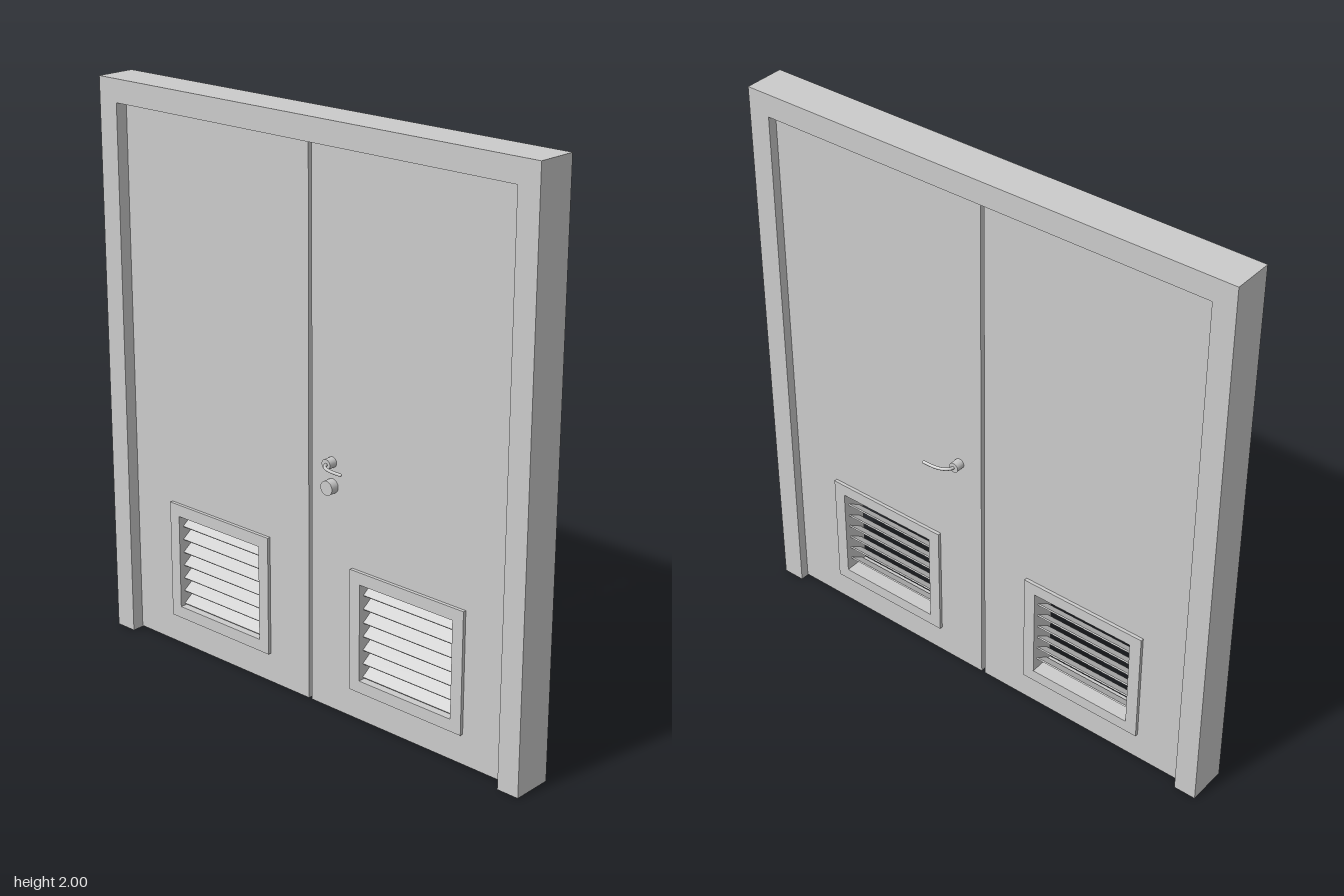
import * as THREE from 'three';

const material = new THREE.MeshStandardMaterial({ color: 0xcccccc });

function add(parent, geometry, name) {
  const mesh = new THREE.Mesh(geometry, material);
  mesh.name = name;
  parent.add(mesh);
  return mesh;
}

function rectangle(Type, x0, x1, y0, y1) {
  const r = new Type();
  r.moveTo(x0, y0);
  r.lineTo(x1, y0);
  r.lineTo(x1, y1);
  r.lineTo(x0, y1);
  r.closePath();
  return r;
}

// Extrudes a shape between two z planes
function slab(shape, z0, z1) {
  return new THREE.ExtrudeGeometry(shape, { depth: z1 - z0, bevelEnabled: false }).translate(0, 0, z0);
}

// Vent sizes, shared by the door cut-out, vent frame and slats
const vent = { x: 0.419, y: 0.325, halfW: 0.192, halfH: 0.172, border: 0.043 };
const doorFace = 0.035;

function makeDoor(side) {
  const door = new THREE.Group();
  door.name = side > 0 ? 'leftDoor' : 'rightDoor';
  const cx = side * vent.x, { y, halfW, halfH, border } = vent;

  // Panel with an opening for the vent
  const panel = rectangle(THREE.Shape, ...(side > 0 ? [0.007, 0.829] : [-0.829, -0.007]), 0.004, 1.918);
  panel.holes.push(rectangle(THREE.Path, cx - halfW - 0.005, cx + halfW + 0.005, y - halfH - 0.005, y + halfH + 0.005));
  add(door, slab(panel, -doorFace, doorFace), 'doorPanel');

  // Raised border on both faces, lining the opening
  const ring = rectangle(THREE.Shape, cx - halfW - border, cx + halfW + border, y - halfH - border, y + halfH + border);
  ring.holes.push(rectangle(THREE.Path, cx - halfW, cx + halfW, y - halfH, y + halfH));
  add(door, slab(ring, -doorFace - 0.012, doorFace + 0.012), 'ventFrame');

  // Slats sloping down towards the front
  for (let i = -3; i <= 3; i++) {
    const slat = add(door, new THREE.BoxGeometry(halfW * 2, 0.005, 0.066), 'ventSlat');
    slat.position.set(cx, y + i * 0.049, 0);
    slat.rotation.x = 0.62;
  }
  return door;
}

// Rose, curved lever and its rounded tip, built facing +z
function makeHandle(name) {
  const handle = new THREE.Group();
  handle.name = name;
  add(handle, new THREE.CylinderGeometry(0.018, 0.018, 0.032, 24).rotateX(Math.PI / 2).translate(0, 0, 0.016), 'handleRose');
  const path = new THREE.CatmullRomCurve3([
    [0, 0.025], [0.005, 0.042], [0.022, 0.057], [0.05, 0.066], [0.095, 0.068],
  ].map(([x, z]) => new THREE.Vector3(x, 0, z)));
  add(handle, new THREE.TubeGeometry(path, 24, 0.0055, 10), 'handleLever');
  add(handle, new THREE.SphereGeometry(0.0055, 10, 8).translate(0.095, 0, 0.068), 'leverTip');
  return handle;
}

export function createModel() {
  const model = new THREE.Group();
  model.name = 'doubleDoor';

  // Surround, open at the floor
  const outline = new THREE.Shape([
    [-0.91, 0], [-0.83, 0], [-0.83, 1.92], [0.83, 1.92],
    [0.83, 0], [0.91, 0], [0.91, 2], [-0.91, 2],
  ].map(([x, y]) => new THREE.Vector2(x, y)));
  add(model, slab(outline, -0.066, 0.078), 'doorFrame');

  for (const side of [-1, 1]) model.add(makeDoor(side));

  // Levers on both faces point the same way
  const front = makeHandle('frontHandle');
  front.position.set(0.097, 0.884, doorFace);
  const back = makeHandle('backHandle');
  back.position.set(0.097, 0.884, -doorFace);
  back.rotation.x = Math.PI;
  model.add(front, back);

  // Lock on the front face
  add(model, new THREE.CylinderGeometry(0.025, 0.025, 0.03, 28).rotateX(Math.PI / 2), 'lock')
    .position.set(0.097, 0.802, doorFace + 0.015);

  return model;
}
